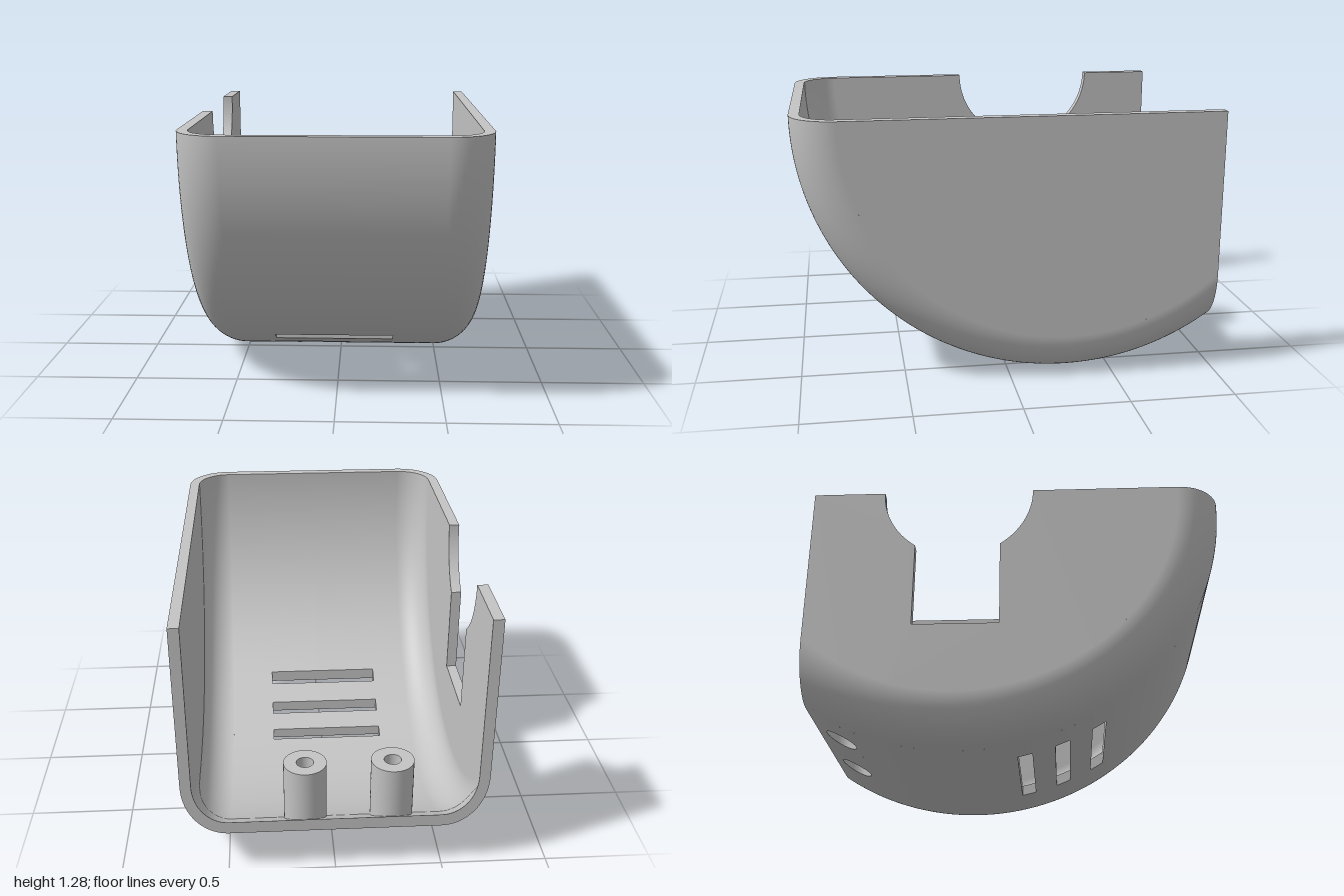
import * as THREE from 'three';
import { toCreasedNormals } from 'three/addons/utils/BufferGeometryUtils.js';
import { ParametricGeometry } from 'three/addons/geometries/ParametricGeometry.js';

// The shell is a rounded section swept about a horizontal axis at (CY, CZ), cut flat at the back
const CY = 1.28, CZ = -0.28, BACK = -1;
const HALF = 0.7, FILLET = 0.21, WALL = 0.05;
const FLAT = HALF - FILLET, CORE = CY - FILLET;
const R_OUT = CORE + FILLET, R_IN = R_OUT - WALL;

const plastic = new THREE.MeshStandardMaterial({ color: 0xc4c4c4 });
plastic.name = 'greyPlastic';

const heightAt = (z, rho) => CY - Math.sqrt(rho * rho - (z - CZ) ** 2);
const angleAt = (z, rho) => Math.acos(Math.min(1, Math.max(-1, (z - CZ) / rho)));

// Smooth surface from a rule fn(u, v) -> [x, y, z]
function surf(fn, nu, nv, flip = false) {
  return new ParametricGeometry((u, v, target) => target.set(...fn(flip ? 1 - u : u, v)), nu, nv);
}

// Point [x, rho] on the rounded cross-section, t from -x side to +x side
function section(t, r) {
  if (t > 1 / 3 && t < 2 / 3) return [FLAT * (6 * t - 3), CORE + r];
  const side = t < 0.5 ? -1 : 1;
  const a = (side < 0 ? 1 - 3 * t : 3 * t - 2) * Math.PI / 2;
  return [side * (FLAT + r * Math.sin(a)), CORE + r * Math.cos(a)];
}

const sweep = (x, rho, phi) => [x, CY - rho * Math.sin(phi), CZ + rho * Math.cos(phi)];

export function createModel() {
  const model = new THREE.Group();
  const add = (name, geometry) => {
    const mesh = new THREE.Mesh(geometry, plastic);
    mesh.name = name;
    model.add(mesh);
  };

  const slots = [[-0.01, 0.06], [0.17, 0.24], [0.35, 0.415]];
  const SX0 = -0.315, SX1 = 0.27;
  const posts = [-0.27, 0.135];
  const PZ = -0.87, CELL = 0.13, BORE = 0.075;

  // Flat-in-x panels of the belly, leaving out slots and screw holes
  const panels = [];
  const edges = [-FLAT, ...posts.flatMap(x => [x - CELL, x + CELL]), FLAT];
  for (let i = 0; i < edges.length; i += 2) panels.push([edges[i], edges[i + 1], BACK, PZ + CELL]);
  let z = PZ + CELL;
  for (const [z0, z1] of slots) {
    panels.push([-FLAT, FLAT, z, z0], [-FLAT, SX0, z0, z1], [SX1, FLAT, z0, z1]);
    z = z1;
  }
  panels.push([-FLAT, FLAT, z, 1]);

  for (const [skin, rho, r, inner] of [['outer', R_OUT, FILLET, false], ['inner', R_IN, FILLET - WALL, true]]) {
    for (const [x0, x1, z0, z1] of panels) {
      const a0 = angleAt(z0, rho), a1 = angleAt(z1, rho);
      add(skin + 'Belly', surf((u, v) => sweep(x0 + (x1 - x0) * u, rho, a0 + (a1 - a0) * v),
        2, Math.max(4, Math.ceil((a0 - a1) * 50)), inner));
    }
    // Square cells with a round hole under each post
    for (const px of posts) {
      add(skin + 'HoleSurround', surf((u, v) => {
        const a = u * Math.PI * 2, c = Math.cos(a), s = Math.sin(a);
        const d = BORE + (CELL / Math.max(Math.abs(c), Math.abs(s)) - BORE) * v;
        const pz = PZ + d * s;
        return [px + d * c, heightAt(pz, rho), pz];
      }, 64, 4, !inner));
    }
    // Rounded edges between belly and sides
    for (const start of [0, 2 / 3]) {
      add(skin + 'RoundedEdge', surf((u, v) => {
        const [x, p] = section(start + u / 3, r);
        return sweep(x, p, angleAt(BACK, p) * (1 - v));
      }, 16, 96, inner));
    }
  }

  // Rim on top and cut face at the back
  const edgeBand = (phiOf) => (u, v) => {
    const [x, p] = section(u, FILLET - WALL + WALL * v);
    return sweep(x, p, phiOf(p));
  };
  add('topRim', surf(edgeBand(() => 0), 48, 1, true));
  add('backEdge', surf(edgeBand(p => angleAt(BACK, p)), 48, 1));

  // Side walls; the one at -x has a keyhole-shaped opening
  for (const side of [1, -1]) {
    const shape = new THREE.Shape();
    const end = angleAt(BACK, CORE);
    shape.moveTo(BACK, CY);
    shape.lineTo(BACK, heightAt(BACK, CORE));
    shape.absarc(CZ, CY, CORE, -end, 0, false);
    if (side < 0) {
      const nz = -0.285, big = 0.365, half = 0.205, a = Math.acos(half / big);
      shape.lineTo(nz + big, CY);
      shape.absarc(nz, CY, big, 0, -a, true);
      shape.lineTo(nz + half, 0.55);
      shape.lineTo(nz - half, 0.55);
      shape.absarc(nz, CY, big, a - Math.PI, -Math.PI, true);
    }
    const plate = new THREE.ExtrudeGeometry(shape, { depth: WALL, bevelEnabled: false, curveSegments: 80 });
    plate.rotateY(-Math.PI / 2);
    plate.translate(side > 0 ? HALF : WALL - HALF, 0, 0);
    add(side > 0 ? 'leftWall' : 'rightWall', toCreasedNormals(plate, 0.5));
  }

  // Cut faces of the vent slots
  for (const [z0, z1] of slots) {
    const loop = [[SX0, z0], [SX1, z0], [SX1, z1], [SX0, z1]];
    loop.forEach(([xa, za], i) => {
      const [xb, zb] = loop[(i + 1) % 4];
      add('slotFace', surf((u, v) => {
        const pz = za + (zb - za) * u;
        const lo = heightAt(pz, R_OUT), hi = heightAt(pz, R_IN);
        return [xa + (xb - xa) * u, lo + (hi - lo) * v, pz];
      }, 4, 1));
    });
  }

  // Screw posts: outside, top ring, pilot hole, shoulder and wider bore from below
  const TOP = 0.51, SHOULDER = 0.36;
  const outline = [
    [0.1, pz => heightAt(pz, R_IN)], [0.1, () => TOP], [0.04, () => TOP],
    [0.04, () => SHOULDER], [BORE, () => SHOULDER], [BORE, pz => heightAt(pz, R_OUT)],
  ];
  for (const px of posts) {
    for (let i = 0; i < outline.length - 1; i++) {
      const [ra, ya] = outline[i], [rb, yb] = outline[i + 1];
      add('screwPost', surf((u, v) => {
        const a = u * Math.PI * 2, r = ra + (rb - ra) * v;
        const pz = PZ - r * Math.sin(a);
        return [px + r * Math.cos(a), ya(pz) * (1 - v) + yb(pz) * v, pz];
      }, 48, 1));
    }
  }
  return model;
}
